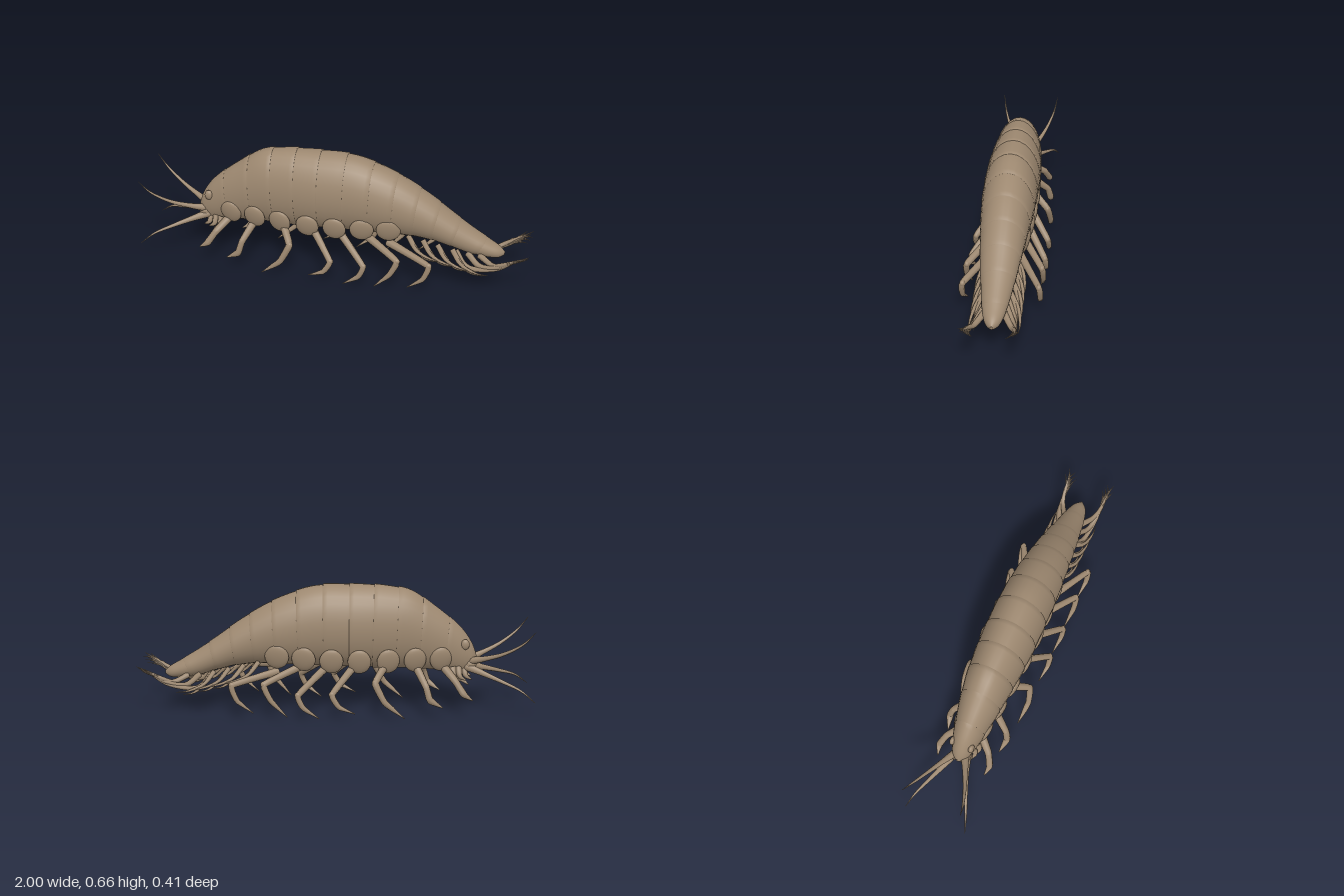
import * as THREE from 'three';

const shell = new THREE.MeshStandardMaterial({ color: 0x9d8870, side: THREE.DoubleSide });
shell.name = 'brownShell';

// Body stations: x, top y, bottom y, half width
const stations = [
  [-0.715, 0.29, 0.255, 0.008], [-0.7, 0.335, 0.225, 0.03], [-0.66, 0.405, 0.2, 0.052],
  [-0.6, 0.47, 0.2, 0.07], [-0.5, 0.55, 0.215, 0.092], [-0.38, 0.63, 0.225, 0.112],
  [-0.27, 0.652, 0.225, 0.124], [-0.1, 0.66, 0.228, 0.135], [0.1, 0.652, 0.235, 0.134],
  [0.22, 0.615, 0.24, 0.129], [0.35, 0.555, 0.245, 0.117], [0.5, 0.46, 0.235, 0.1],
  [0.6, 0.385, 0.21, 0.086], [0.7, 0.315, 0.18, 0.069], [0.8, 0.252, 0.166, 0.05],
  [0.85, 0.222, 0.168, 0.029], [0.873, 0.2, 0.182, 0.006],
];
const spline = new THREE.CubicInterpolant(
  stations.map(s => s[0]), stations.flatMap(s => s.slice(1)), 3, new Float32Array(3));
const profile = x => Array.from(spline.evaluate(THREE.MathUtils.clamp(x, -0.715, 0.873)));

// One armour ring: lofted egg sections with a slightly flared rear rim
function segment(x0, x1, isHead, isTail) {
  const rings = [];
  const steps = isHead || isTail ? 14 : 6;
  for (let i = 0; i <= steps; i++) {
    const t = i / steps;
    const u = isHead ? t * t : isTail ? 1 - (1 - t) ** 2 : t;
    rings.push([x0 + (x1 - x0) * u, isTail ? 0.985 + 0.015 * t : 0.985 + 0.025 * t]);
  }
  if (!isTail) rings.push([x1 + 0.002, 0.955]);
  const n = 28, pos = [], idx = [];
  rings.forEach(([x, k], r) => {
    const fade = (isHead && r < steps) ? r / steps : isTail ? 1 - r / steps : 1;
    const tilt = fade * THREE.MathUtils.mapLinear(x, -0.7, 0.85, -0.02, 0.03);
    for (let j = 0; j < n; j++) {
      const a = j / n * Math.PI * 2, c = Math.cos(a);
      const px = x + tilt * c;
      const [top, bottom, w] = profile(px);
      pos.push(px, (top + bottom) / 2 + (top - bottom) / 2 * c * k, w * Math.sin(a) * k);
      if (r) {
        const p = (r - 1) * n, q = r * n, m = (j + 1) % n;
        idx.push(p + j, p + m, q + j, p + m, q + m, q + j);
      }
    }
  });
  // Close the open end of head and tail
  if (isHead || isTail) {
    const base = isHead ? 0 : (rings.length - 1) * n;
    for (let j = 1; j < n - 1; j++) {
      idx.push(base, base + (isHead ? j + 1 : j), base + (isHead ? j : j + 1));
    }
  }
  const g = new THREE.BufferGeometry();
  g.setAttribute('position', new THREE.Float32BufferAttribute(pos, 3));
  g.setIndex(idx);
  g.computeVertexNormals();
  return g;
}

// Tube through points whose radius follows the given list
function limb(points, radii, side, tension = 0.15, steps = 22, sides = 8) {
  const curve = new THREE.CatmullRomCurve3(
    points.map(p => new THREE.Vector3(p[0], p[1], p[2] * side)), false, 'catmullrom', tension);
  const g = new THREE.TubeGeometry(curve, steps, 1, sides);
  const pos = g.attributes.position, v = new THREE.Vector3();
  for (let i = 0; i <= steps; i++) {
    const c = curve.getPointAt(i / steps);
    const f = i / steps * (radii.length - 1), k = Math.min(Math.floor(f), radii.length - 2);
    const r = THREE.MathUtils.lerp(radii[k], radii[k + 1], f - k);
    for (let j = 0; j <= sides; j++) {
      const id = i * (sides + 1) + j;
      v.fromBufferAttribute(pos, id).sub(c).multiplyScalar(r).add(c);
      pos.setXYZ(id, v.x, v.y, v.z);
    }
  }
  return g;
}

export function createModel() {
  const model = new THREE.Group();
  const add = (name, geometry) => {
    const mesh = new THREE.Mesh(geometry, shell);
    mesh.name = name;
    model.add(mesh);
    return mesh;
  };
  const blob = (name, p, s) => {
    const mesh = add(name, new THREE.SphereGeometry(1, 20, 14));
    mesh.position.set(...p);
    mesh.scale.set(...s);
    return mesh;
  };

  // Head, armour rings and tail
  const seams = [-0.715, -0.56, -0.43, -0.31, -0.19, -0.07, 0.06, 0.19, 0.31, 0.42, 0.52, 0.62, 0.75, 0.873];
  for (let i = 0; i < seams.length - 1; i++) {
    const isHead = i === 0, isTail = i === seams.length - 2;
    add(isHead ? 'head' : isTail ? 'tail' : 'bodyRing',
      segment(seams[i] - (isHead ? 0 : 0.008), seams[i + 1], isHead, isTail));
  }

  // Side plates: x, y
  const plates = [[-0.53, 0.29], [-0.4, 0.29], [-0.265, 0.285], [-0.12, 0.283], [0.02, 0.285], [0.16, 0.295], [0.295, 0.305]];
  // Legs: hip, knee, ankle and claw as x, y, z
  const legs = [
    [[-0.54, 0.25, 0.05], [-0.6, 0.19, 0.115], [-0.645, 0.125, 0.14], [-0.69, 0.09, 0.13]],
    [[-0.4, 0.26, 0.06], [-0.455, 0.165, 0.145], [-0.475, 0.1, 0.16], [-0.54, 0.055, 0.145]],
    [[-0.26, 0.27, 0.07], [-0.2, 0.19, 0.165], [-0.25, 0.09, 0.18], [-0.35, 0.003, 0.165]],
    [[-0.11, 0.27, 0.07], [0.015, 0.135, 0.185], [-0.02, 0.07, 0.19], [-0.1, 0.03, 0.175]],
    [[0.03, 0.26, 0.07], [0.185, 0.13, 0.185], [0.16, 0.065, 0.19], [0.08, 0.003, 0.175]],
    [[0.17, 0.25, 0.07], [0.355, 0.185, 0.185], [0.32, 0.1, 0.19], [0.24, 0.01, 0.175]],
    [[0.29, 0.22, 0.07], [0.515, 0.18, 0.185], [0.49, 0.1, 0.19], [0.41, 0.03, 0.175]],
  ];

  for (const side of [1, -1]) {
    plates.forEach(([x, y], i) => {
      const z = profile(x)[2] * 0.76 + 0.006;
      const plate = blob('sidePlate', [x, y, z * side], [0.056 + i * 0.001, 0.066, 0.02]);
      plate.rotation.set(side * 0.2, side * (i < 3 ? -0.15 : i > 4 ? 0.12 : 0), 0);
    });

    legs.forEach((p, i) => {
      add('leg', limb(p, i < 2 ? [0.022, 0.02, 0.017, 0.018, 0.003] : [0.022, 0.019, 0.017, 0.014, 0.002], side));
      blob('kneeJoint', [p[1][0], p[1][1], p[1][2] * side], [0.017, 0.017, 0.014]);
    });

    blob('eye', [-0.652, 0.36, 0.05 * side], [0.022, 0.027, 0.014]);

    // Antennae
    add('upperAntenna', limb([[-0.67, 0.265, 0.02], [-0.74, 0.285, 0.055], [-0.84, 0.325, 0.1], [-0.93, 0.385, 0.135], [-0.99, 0.453, 0.152]],
      [0.022, 0.013, 0.009, 0.006, 0.001], side, 0.5));
    add('lowerAntenna', limb([[-0.66, 0.24, 0.025], [-0.75, 0.21, 0.06], [-0.84, 0.18, 0.1], [-0.93, 0.145, 0.14], [-1, 0.09, 0.165]],
      [0.024, 0.015, 0.01, 0.006, 0.001], side, 0.5));
    blob('antennaBase', [-0.68, 0.25, 0.025 * side], [0.034, 0.03, 0.025]);

    // Mouthparts
    for (const [x, z] of [[-0.67, 0.03], [-0.64, 0.045], [-0.61, 0.055]]) {
      add('mouthpart', limb([[x + 0.02, 0.24, z - 0.01], [x + 0.01, 0.195, z + 0.01], [x - 0.02, 0.17, z]],
        [0.02, 0.014, 0.003], side, 0.5, 10));
    }

    // Swimming legs under the abdomen, each split into two branches
    for (let i = 0; i < 4; i++) {
      const x = 0.39 + i * 0.075, y = 0.265 - i * 0.017;
      for (const b of [0, 1]) {
        add('swimmingLeg', limb([[x, y, 0.06], [x + 0.05, y - 0.055, 0.09 + b * 0.012],
          [x + 0.1 + b * 0.03, y - 0.1 + b * 0.012, 0.1 + b * 0.018], [x + 0.16 + b * 0.03, y - 0.115 + b * 0.02, 0.095 + b * 0.02]],
        [0.014, 0.01, 0.007, 0.001], side, 0.5, 14, 6));
      }
    }

    // Tail limbs sweeping back, tipped with bristles
    for (let i = 0; i < 3; i++) {
      const x = 0.63 + i * 0.06, y = 0.2 - i * 0.005, tip = [0.93 + i * 0.012, 0.205 + i * 0.014, 0.1 + i * 0.008];
      add('tailLimb', limb([[x, y, 0.045], [x + 0.07, 0.135 + i * 0.015, 0.085], [0.84 + i * 0.015, 0.155 + i * 0.015, 0.105], tip],
        [0.017, 0.014, 0.011, 0.004], side, 0.5, 16, 6));
      for (let k = 0; k < 5; k++) {
        const s = k / 4 - 0.5;
        const from = [tip[0] - 0.03 * (k % 3), tip[1] - 0.014 * (k % 3), tip[2]];
        add('tailBristle', limb([from, [from[0] + 0.03, from[1] + 0.012 + s * 0.012, from[2] + s * 0.025],
          [from[0] + 0.048, from[1] + 0.02 + s * 0.02, from[2] + s * 0.05]], [0.004, 0.003, 0.0005], side, 0.5, 5, 5));
      }
    }
  }
  return model;
}
